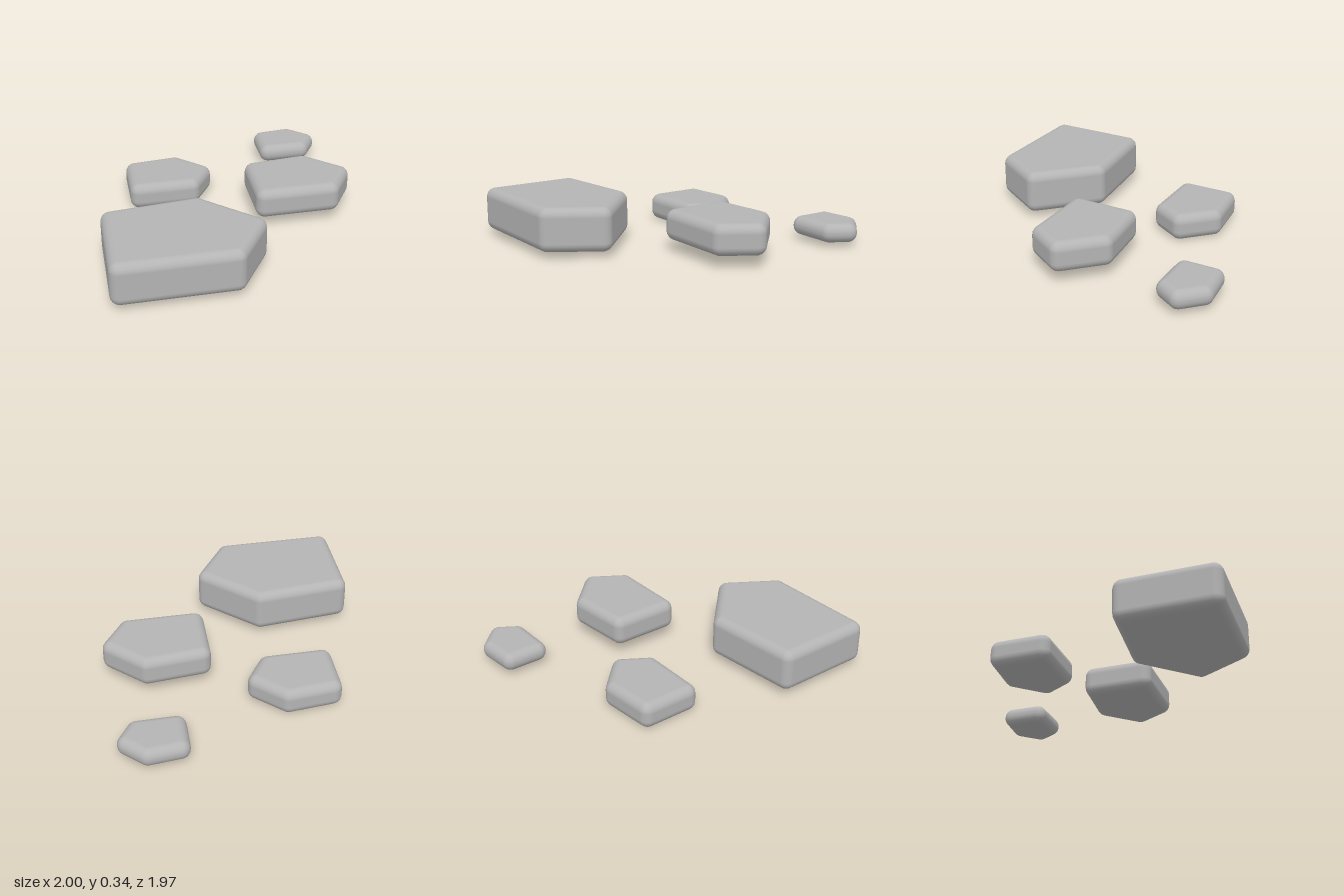
import * as THREE from 'three';

const RADIUS = 0.065; // edge rounding shared by every stone
const STEPS = 5;      // segments per rounded quarter

// Corners of the five-sided core, as [x, z]
const CORE = [[-0.4075, -0.3275], [0.1825, -0.3275], [0.4825, 0.0375], [0.2525, 0.3275], [-0.4825, 0.2575]];

// Outline samples: a core corner plus the outward direction, swept around each corner
function outline(scale) {
  const n = CORE.length;
  const edgeAngle = (i) => {
    const [ax, az] = CORE[(i + n) % n], [bx, bz] = CORE[(i + 1) % n];
    return Math.atan2(-(bx - ax), bz - az);
  };
  const samples = [];
  for (let i = 0; i < n; i++) {
    const start = edgeAngle(i - 1);
    let sweep = edgeAngle(i) - start;
    if (sweep < 0) sweep += Math.PI * 2;
    for (let k = 0; k <= STEPS; k++) {
      const t = start + (sweep * k) / STEPS;
      samples.push({ x: CORE[i][0] * scale, z: CORE[i][1] * scale, dx: Math.cos(t), dz: Math.sin(t) });
    }
  }
  return samples;
}

// Rounded slab: stacked rings from the flat underside to the flat top
function stoneGeometry(scale, bottom, top) {
  const samples = outline(scale), m = samples.length;
  const position = [], normal = [], index = [];
  const rings = [];
  for (let k = 0; k <= STEPS; k++) rings.push([-Math.PI / 2 * (1 - k / STEPS), bottom + RADIUS]);
  for (let k = 0; k <= STEPS; k++) rings.push([Math.PI / 2 * (k / STEPS), top - RADIUS]);

  for (const [phi, y] of rings) {
    const c = Math.cos(phi), s = Math.sin(phi);
    for (const p of samples) {
      position.push(p.x + p.dx * c * RADIUS, y + s * RADIUS, p.z + p.dz * c * RADIUS);
      normal.push(p.dx * c, s, p.dz * c);
    }
  }
  for (let r = 0; r < rings.length - 1; r++) {
    for (let j = 0; j < m; j++) {
      const a = r * m + j, b = r * m + (j + 1) % m;
      index.push(a, a + m, b, b, a + m, b + m);
    }
  }

  // Flat caps
  const low = position.length / 3, high = low + 1, last = (rings.length - 1) * m;
  position.push(0, bottom, 0, 0, top, 0);
  normal.push(0, -1, 0, 0, 1, 0);
  for (let j = 0; j < m; j++) {
    const next = (j + 1) % m;
    index.push(low, j, next, high, last + next, last + j);
  }

  const geometry = new THREE.BufferGeometry();
  geometry.setAttribute('position', new THREE.Float32BufferAttribute(position, 3));
  geometry.setAttribute('normal', new THREE.Float32BufferAttribute(normal, 3));
  geometry.setIndex(index);
  return geometry;
}

export function createModel() {
  const group = new THREE.Group();
  group.name = 'steppingStones';
  const stone = new THREE.MeshStandardMaterial({ color: 0xb4b4b4 });
  stone.name = 'grey stone';

  // name, centre x, centre z, core scale, bottom, top
  const stones = [
    ['largeStone', -0.455, 0.585, 1, 0.04, 0.345],
    ['mediumStone', 0.555, 0.005, 0.64, 0.08, 0.295],
    ['smallStone', -0.275, -0.495, 0.52, 0, 0.19],
    ['tinyStone', 0.765, -0.815, 0.35, 0.03, 0.165],
  ];
  for (const [name, x, z, scale, bottom, top] of stones) {
    const mesh = new THREE.Mesh(stoneGeometry(scale, bottom, top), stone);
    mesh.name = name;
    mesh.position.set(x, 0, z);
    group.add(mesh);
  }
  return group;
}
